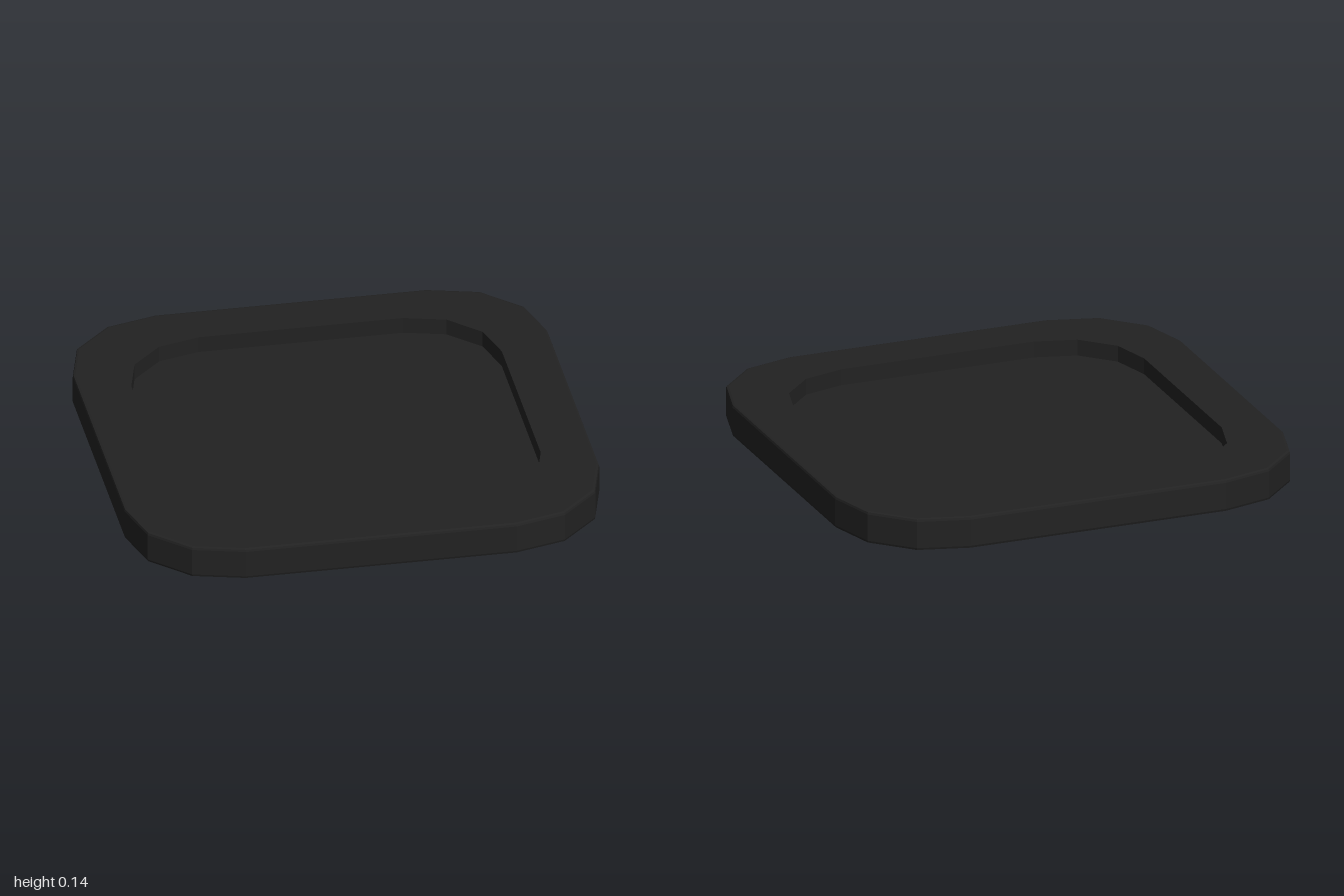
import * as THREE from 'three';

const CORNER_STEPS = 3;

// Rounded-square loop at height y, with half-width h and corner radius r
function ring([h, r, y]) {
  const points = [];
  for (let corner = 0; corner < 4; corner++) {
    const mid = (corner + 0.5) * Math.PI / 2;
    const cx = Math.sign(Math.cos(mid)) * (h - r);
    const cz = Math.sign(Math.sin(mid)) * (h - r);
    for (let i = 0; i <= CORNER_STEPS; i++) {
      const a = (corner + i / CORNER_STEPS) * Math.PI / 2;
      points.push([cx + r * Math.cos(a), y, cz + r * Math.sin(a)]);
    }
  }
  return points;
}

// Skin between successive loops; a loop of half-width 0 closes to a point
function loft(profile) {
  const rings = profile.map(ring);
  const positions = [];
  for (let k = 0; k < rings.length - 1; k++) {
    const low = rings[k], high = rings[k + 1], n = low.length;
    for (let j = 0; j < n; j++) {
      const m = (j + 1) % n;
      if (profile[k + 1][0] > 0) positions.push(...low[j], ...high[j], ...high[m]);
      if (profile[k][0] > 0) positions.push(...low[j], ...high[m], ...low[m]);
    }
  }
  const geometry = new THREE.BufferGeometry();
  geometry.setAttribute('position', new THREE.Float32BufferAttribute(positions, 3));
  geometry.computeVertexNormals();
  return geometry;
}

export function createModel() {
  const group = new THREE.Group();
  group.name = 'tray';
  const material = new THREE.MeshStandardMaterial({ color: 0x222222, flatShading: true });

  const add = (name, profile) => {
    const mesh = new THREE.Mesh(loft(profile), material);
    mesh.name = name;
    group.add(mesh);
  };

  // Base and raised rim with softened outer edges
  add('body', [
    [0, 0, 0],
    [0.988, 0.418, 0],
    [0.997, 0.427, 0.003],
    [1, 0.43, 0.012],
    [1, 0.43, 0.128],
    [0.997, 0.427, 0.137],
    [0.988, 0.418, 0.14],
    [0.78, 0.35, 0.14],
  ]);

  // Sunken centre: upright wall and flat floor
  add('recess', [
    [0.78, 0.35, 0.14],
    [0.78, 0.35, 0.07],
    [0, 0, 0.07],
  ]);

  return group;
}
